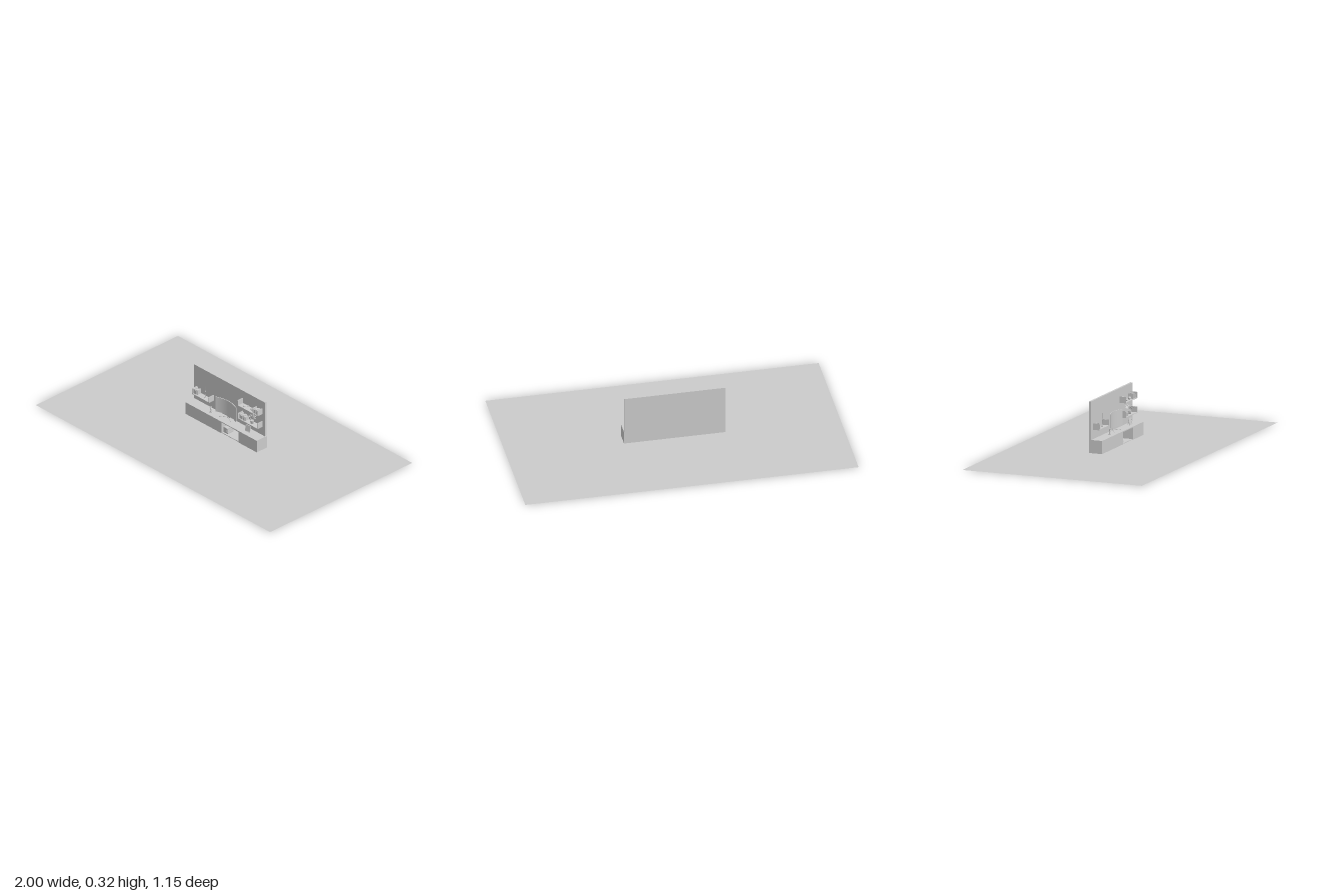
import * as THREE from 'three';

const mat = new THREE.MeshStandardMaterial({ color: 0xcccccc });
const flat = new THREE.MeshStandardMaterial({ color: 0xcccccc, flatShading: true });
const thin = new THREE.MeshStandardMaterial({ color: 0xcccccc, side: THREE.DoubleSide });

function add(parent, name, geo, x = 0, y = 0, z = 0, material = mat) {
  const m = new THREE.Mesh(geo, material);
  m.name = name;
  m.position.set(x, y, z);
  parent.add(m);
  return m;
}

// Box given by its minimum and maximum corners
function box(parent, name, x0, x1, y0, y1, z0, z1) {
  return add(parent, name, new THREE.BoxGeometry(x1 - x0, y1 - y0, z1 - z0),
    (x0 + x1) / 2, (y0 + y1) / 2, (z0 + z1) / 2);
}

function group(parent, name, x = 0, y = 0, z = 0) {
  const g = new THREE.Group();
  g.name = name;
  g.position.set(x, y, z);
  parent.add(g);
  return g;
}

function lathe(parent, name, points, x, y, z) {
  const pts = points.map(([r, h]) => new THREE.Vector2(r, h));
  return add(parent, name, new THREE.LatheGeometry(pts, 20), x, y, z, thin);
}

// Round bar between two points
function rod(parent, name, a, b, r) {
  const path = new THREE.LineCurve3(new THREE.Vector3(...a), new THREE.Vector3(...b));
  return add(parent, name, new THREE.TubeGeometry(path, 1, r, 8), 0, 0, 0, thin);
}

// Wall shelf with an upright panel at each end
function shelf(parent, name, x0, x1, y) {
  const g = group(parent, name), t = 0.004;
  box(g, 'shelfBoard', x0, x1, y, y + t, -0.05, -0.009);
  box(g, 'shelfEnd', x0, x0 + t, y + t, y + 0.038, -0.05, -0.009);
  box(g, 'shelfEnd', x1 - t, x1, y + t, y + 0.038, -0.05, -0.009);
}

// Row of upright books of varied height
function books(parent, x, y, count, width, height) {
  const g = group(parent, 'books');
  for (let i = 0; i < count; i++) {
    const h = height * (1 - 0.12 * ((i * 2) % 3));
    const x0 = x + i * width;
    box(g, 'book', x0, x0 + width * 0.9, y, y + h, -0.046, -0.015 - 0.003 * (i % 2));
  }
}

export function createModel() {
  const root = new THREE.Group();
  root.name = 'mediaWall';

  const floor = add(root, 'floor', new THREE.PlaneGeometry(2, 1.15), 0, 0, 0, thin);
  floor.rotation.x = -Math.PI / 2;

  box(root, 'wallPanel', -0.309, 0.296, 0.09, 0.323, -0.063, -0.05);

  // Low cabinet: doors everywhere except an open niche right of the middle
  const cab = group(root, 'cabinet');
  const L = -0.309, R = 0.301, B = 0.013, T = 0.092, zb = -0.063, zf = 0.016;
  box(cab, 'cabinetTop', L, R, T - 0.005, T, zb, 0.02);
  box(cab, 'cabinetBottom', L, R, B, B + 0.004, zb, zf);
  box(cab, 'cabinetBack', L, R, B + 0.004, T - 0.005, zb, zb + 0.005);
  for (const x of [L, -0.16, -0.004, 0.146, R - 0.005])
    box(cab, 'cabinetDivider', x, x + 0.005, B + 0.004, T - 0.005, zb + 0.005, zf);
  for (const [x0, x1] of [[L, -0.158], [-0.157, -0.001], [0.147, R]])
    box(cab, 'door', x0, x1, B, T - 0.005, zf, 0.02);

  // Stacked boxes in the niche
  const stack = group(root, 'nicheStack');
  for (let i = 0; i < 3; i++)
    box(stack, 'nicheBox', 0.003, 0.038 - 0.002 * i, 0.017 + 0.012 * i, 0.028 + 0.012 * i, -0.04, 0.005);

  // Curved screen: a box bent so that its ends come forward
  const tv = group(root, 'screen', -0.006, 0, 0);
  const panel = new THREE.BoxGeometry(0.174, 0.099, 0.004, 20, 1, 1);
  const p = panel.attributes.position;
  for (let i = 0; i < p.count; i++)
    p.setZ(i, p.getZ(i) + 0.02 * (p.getX(i) / 0.087) ** 2);
  panel.computeVertexNormals();
  add(tv, 'screenPanel', panel, 0, 0.157, -0.041);
  box(tv, 'screenNeck', -0.012, 0.012, 0.094, 0.115, -0.045, -0.041);
  for (const s of [-1, 1])
    rod(tv, 'screenFoot', [0, 0.096, -0.042], [s * 0.049, 0.094, -0.014], 0.002);

  shelf(root, 'leftShelf', -0.283, -0.138, 0.148);
  shelf(root, 'lowerRightShelf', 0.107, 0.275, 0.148);
  shelf(root, 'upperRightShelf', 0.107, 0.275, 0.236);

  books(root, -0.277, 0.152, 4, 0.008, 0.032);
  books(root, 0.116, 0.152, 6, 0.008, 0.029);
  books(root, 0.226, 0.24, 5, 0.008, 0.03);

  // Slender candlestick on the left shelf
  lathe(root, 'candlestick', [[0, 0], [0.008, 0], [0.008, 0.002], [0.002, 0.006], [0.0015, 0.04],
    [0.004, 0.045], [0.0015, 0.05], [0.0015, 0.08], [0, 0.084]], -0.19, 0.152, -0.03);

  // Potted plant with a ring of leaves
  const plant = group(root, 'plant', 0.207, 0.152, -0.03);
  lathe(plant, 'pot', [[0, 0], [0.008, 0], [0.012, 0.02], [0.01, 0.02], [0, 0.018]], 0, 0, 0);
  for (let i = 0; i < 14; i++) {
    const a = i * 2.4, lean = 0.25 + 0.9 * (i / 13);
    const leaf = add(plant, 'leaf', new THREE.IcosahedronGeometry(1, 1), 0, 0, 0, flat);
    const dir = new THREE.Vector3(Math.sin(lean) * Math.cos(a), Math.cos(lean), Math.sin(lean) * Math.sin(a));
    leaf.scale.set(0.005, 0.013, 0.002);
    leaf.quaternion.setFromUnitVectors(new THREE.Vector3(0, 1, 0), dir);
    leaf.position.copy(dir).multiplyScalar(0.02).add(new THREE.Vector3(0, 0.028, 0));
  }

  // Small ornament lying on the upper right shelf
  const orn = group(root, 'ornament', 0.158, 0.246, -0.03);
  orn.rotation.y = 0.8;
  add(orn, 'ornamentBody', new THREE.CapsuleGeometry(0.005, 0.028, 4, 10)).rotation.z = Math.PI / 2;
  box(orn, 'ornamentCross', -0.004, 0.004, -0.001, 0.001, -0.014, 0.014);
  add(root, 'bowl', new THREE.SphereGeometry(0.009, 14, 10), 0.208, 0.248, -0.03);

  // Standing figurine on the cabinet
  const fig = group(root, 'figurine', -0.122, 0.092, -0.012);
  lathe(fig, 'figurineBody', [[0, 0], [0.009, 0], [0.009, 0.003], [0.004, 0.006], [0.006, 0.02],
    [0.003, 0.027], [0, 0.028]], 0, 0, 0);
  add(fig, 'figurineHead', new THREE.SphereGeometry(0.005, 12, 8), 0, 0.033, 0);
  for (const s of [-1, 1])
    rod(fig, 'figurineArm', [s * 0.003, 0.024, 0], [s * 0.009, 0.03, 0.005], 0.0015);

  // Leaning picture frame with a rear strut
  const frame = group(root, 'pictureFrame', 0.187, 0.092, -0.012);
  frame.rotation.x = -0.2;
  const W = 0.018, H = 0.042;
  for (const s of [-1, 1])
    box(frame, 'frameSide', s * W - 0.002, s * W + 0.002, 0.001, H, -0.002, 0.002);
  for (const y of [0.001, H - 0.004])
    box(frame, 'frameRail', -W, W, y, y + 0.004, -0.002, 0.002);
  box(frame, 'picture', -W, W, 0.004, H - 0.003, -0.001, 0.001);
  rod(frame, 'frameStrut', [0, 0.032, -0.001], [0, 0.005, -0.02], 0.0015);

  return root;
}
